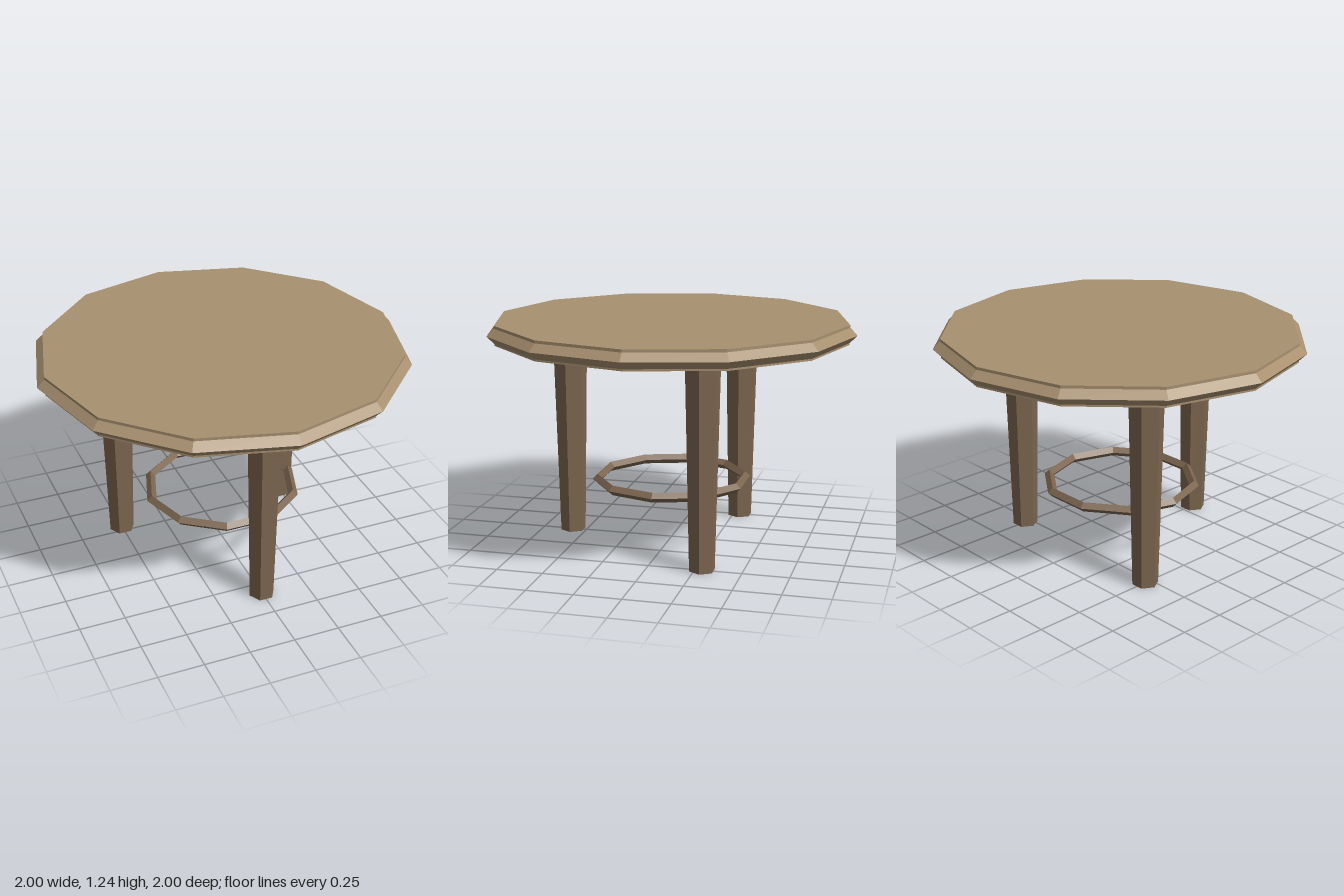
import * as THREE from 'three';

export function createModel() {
  const table = new THREE.Group();
  table.name = 'roundTable';

  const lightWood = new THREE.MeshStandardMaterial({ color: 0xa89070, flatShading: true });
  lightWood.name = 'light wood';
  const darkWood = new THREE.MeshStandardMaterial({ color: 0x7d6650, flatShading: true });
  darkWood.name = 'dark wood';

  function add(name, geometry, material, x, y, z) {
    const mesh = new THREE.Mesh(geometry, material);
    mesh.name = name;
    mesh.position.set(x, y, z);
    table.add(mesh);
  }

  // Horizontal ring with a diamond cross-section
  const diamondRing = (radius, tube, sides) =>
    new THREE.TorusGeometry(radius, tube, 4, sides).rotateX(Math.PI / 2);

  // Twelve-sided top with its pointed rim
  add('tableTop', new THREE.CylinderGeometry(0.96, 0.96, 0.105, 12), lightWood, 0, 1.1825, 0);
  add('tableRim', diamondRing(0.96, 0.04, 12), lightWood, 0, 1.18, 0);

  // Three tapered hexagonal legs, one at the front
  const legHeight = 1.135;
  const legGeometry = new THREE.CylinderGeometry(0.096, 0.07, legHeight, 6).rotateY(Math.PI / 6);
  ['frontLeg', 'backLeftLeg', 'backRightLeg'].forEach((name, i) => {
    const angle = (i * Math.PI * 2) / 3;
    add(name, legGeometry, darkWood, 0.577 * Math.sin(angle), legHeight / 2, 0.577 * Math.cos(angle));
  });

  // Ten-sided stretcher ring between the legs
  add('stretcherRing', diamondRing(0.41, 0.027, 10), darkWood, 0, 0.345, 0);

  return table;
}
